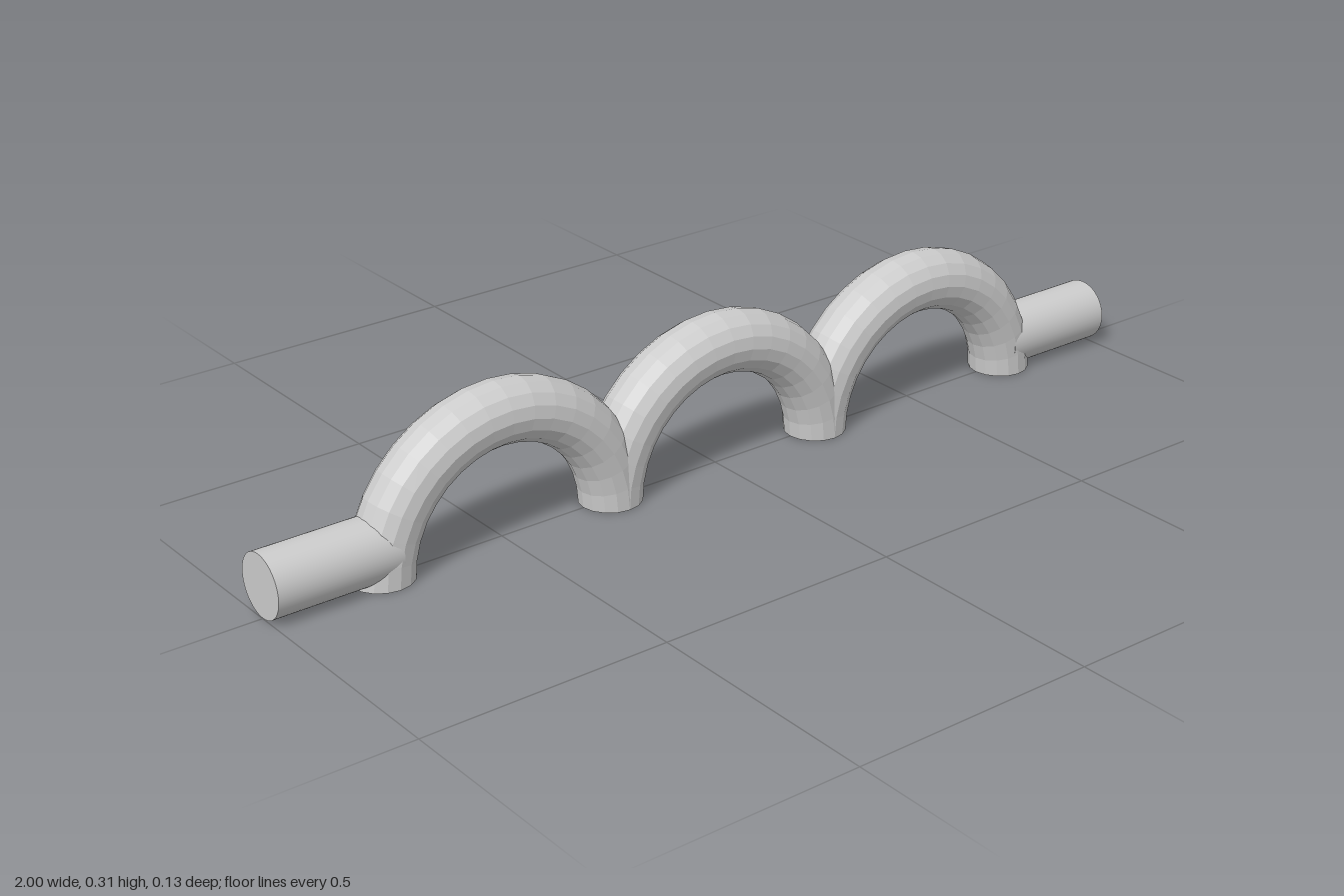
import * as THREE from 'three';

const TUBE = 0.0625;   // radius of the round bar
const BEND = 0.2525;   // centreline radius of each arch
const PITCH = 0.505;   // distance between arch centres

export function createModel() {
  const model = new THREE.Group();
  const faceted = new THREE.MeshStandardMaterial({ color: 0xcccccc, flatShading: true });
  const smooth = new THREE.MeshStandardMaterial({ color: 0xcccccc });

  // Three half-ring arches in a row, each with closed feet
  const archGeometry = new THREE.TorusGeometry(BEND, TUBE, 16, 18, Math.PI);
  const footGeometry = new THREE.CircleGeometry(TUBE, 16).rotateX(Math.PI / 2);
  for (const i of [-1, 0, 1]) {
    const arch = new THREE.Group();
    arch.name = 'arch';
    const bar = new THREE.Mesh(archGeometry, faceted);
    bar.name = 'archBar';
    arch.add(bar);
    for (const side of [-1, 1]) {
      const foot = new THREE.Mesh(footGeometry, faceted);
      foot.name = 'archFoot';
      foot.position.x = side * BEND;
      arch.add(foot);
    }
    arch.position.x = i * PITCH;
    model.add(arch);
  }

  // Straight round bars reaching out from the outer arches
  const inner = 0.745;
  const endGeometry = new THREE.CylinderGeometry(0.063, 0.063, 1 - inner, 48).rotateZ(Math.PI / 2);
  for (const side of [-1, 1]) {
    const end = new THREE.Mesh(endGeometry, smooth);
    end.name = side > 0 ? 'leftEndBar' : 'rightEndBar';
    end.position.set(side * (1 + inner) / 2, 0.064, 0);
    model.add(end);
  }
  return model;
}
